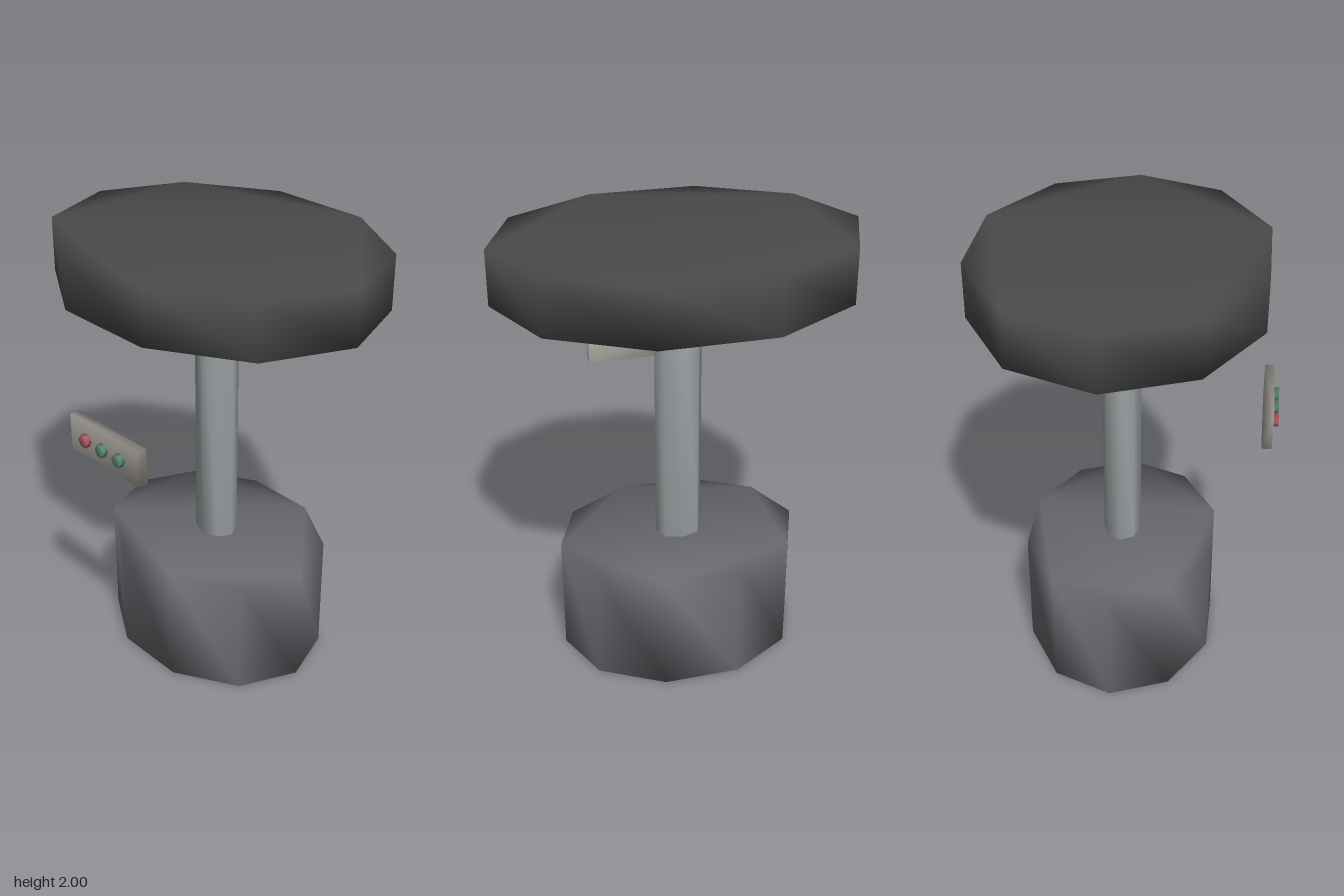
import * as THREE from 'three';
import { mergeVertices } from 'three/addons/utils/BufferGeometryUtils.js';

const AXIS_Z = -0.04; // centre line of the pedestal

// Weld corners so that shading rolls smoothly over the edges
function soften(geometry) {
  geometry.deleteAttribute('uv');
  geometry.deleteAttribute('normal');
  const welded = mergeVertices(geometry, 1e-4);
  welded.computeVertexNormals();
  return welded;
}

// Prism along +z over a regular polygon stretched to radii rx and ry
function prism(sides, rx, ry, depth) {
  const points = [];
  for (let i = 0; i < sides; i++) {
    const a = (i / sides) * Math.PI * 2;
    points.push(new THREE.Vector2(rx * Math.cos(a), ry * Math.sin(a)));
  }
  return soften(new THREE.ExtrudeGeometry(new THREE.Shape(points), { depth, bevelEnabled: false }));
}

function part(name, geometry, color, x, y, z) {
  const mesh = new THREE.Mesh(geometry, new THREE.MeshStandardMaterial({ color }));
  mesh.name = name;
  mesh.position.set(x, y, z);
  return mesh;
}

// Upright oval prism standing between two heights
function upright(name, sides, rx, rz, bottom, top, color) {
  const geometry = prism(sides, rx, rz, top - bottom).rotateX(-Math.PI / 2);
  return part(name, geometry, color, 0, bottom, AXIS_Z);
}

export function createModel() {
  const group = new THREE.Group();
  group.name = 'pedestalTable';

  // Pedestal
  group.add(upright('base', 10, 0.558, 0.45, 0, 0.552, 0x6a6a70));
  group.add(upright('column', 8, 0.107, 0.0865, 0.552, 1.756, 0x9aa0a2));
  group.add(upright('tableTop', 10, 0.805, 0.649, 1.756, 2, 0x4a4a4a));

  // Floating control panel with three hexagonal buttons
  const controls = new THREE.Group();
  controls.name = 'controls';
  controls.add(part('panel', soften(new THREE.BoxGeometry(0.453, 0.164, 0.045)), 0xa8a49c, 0.046, 1.239, 0.61));
  [0xb06060, 0x608878, 0x608878].forEach((color, i) => {
    controls.add(part('button', prism(6, 0.03, 0.03, 0.026), color, -0.068 + i * 0.1125, 1.239, 0.63));
  });
  group.add(controls);

  return group;
}
